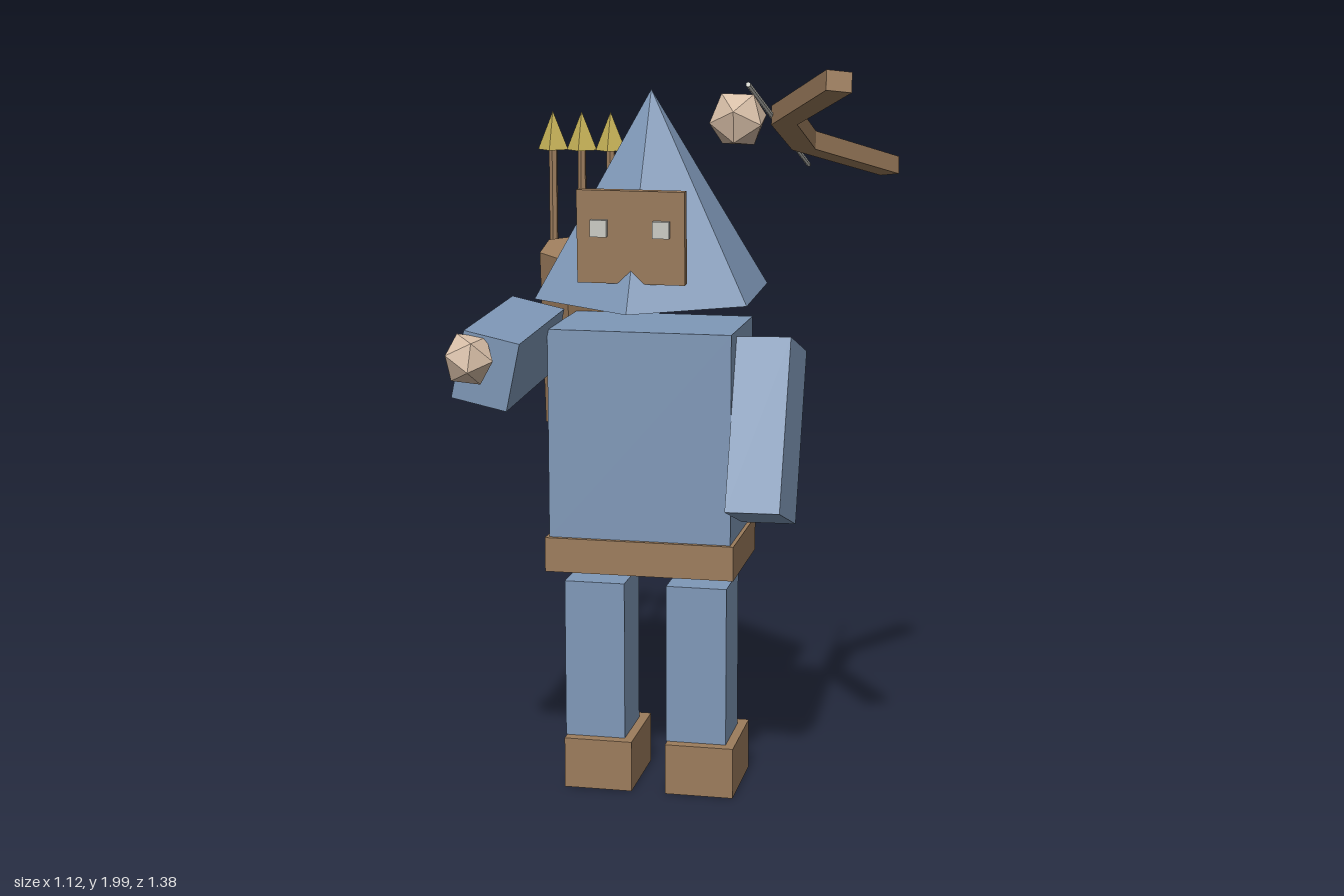
import * as THREE from 'three';

const mat = (name, color) => {
  const m = new THREE.MeshStandardMaterial({ color });
  m.name = name;
  m.flatShading = true;
  return m;
};

export function createModel() {
  const blue = mat('blue cloth', 0x7f98b8);
  const brown = mat('brown leather', 0x9c7c5c);
  const skin = mat('skin', 0xd6bda6);
  const gold = mat('gold', 0xc8b458);
  const pale = mat('pale grey', 0xcfcfc8);

  const model = new THREE.Group();
  model.name = 'archer';
  const YAW = -0.1;

  const add = (parent, name, geo, material, pos, rot = [0, 0, 0]) => {
    const mesh = new THREE.Mesh(geo, material);
    mesh.name = name;
    mesh.position.set(...pos);
    mesh.rotation.set(...rot);
    parent.add(mesh);
    return mesh;
  };
  const box = (w, h, d) => new THREE.BoxGeometry(w, h, d);

  // Torso, belt, legs and feet, turned slightly to one side
  const body = new THREE.Group();
  body.name = 'body';
  body.position.set(-0.086, 0, -0.2435);
  body.rotation.y = YAW;
  model.add(body);
  add(body, 'torso', box(0.49, 0.56, 0.324), blue, [0, 0.997, 0]);
  add(body, 'belt', box(0.51, 0.093, 0.345), brown, [0, 0.67, 0]);
  for (const [side, s] of [['left', 1], ['right', -1]]) {
    add(body, side + 'Leg', box(0.165, 0.437, 0.182), blue, [s * 0.14, 0.3585, 0]);
    add(body, side + 'Foot', box(0.187, 0.14, 0.253), brown, [s * 0.14 + 0.014, 0.07, -0.005]);
  }

  // Pointed hood with a face plate and eyes
  const head = new THREE.Group();
  head.name = 'head';
  head.position.set(-0.083, 1.362, -0.248);
  head.rotation.set(0.048, YAW, 0);
  model.add(head);
  add(head, 'hood', new THREE.ConeGeometry(0.325, 0.533, 6), blue, [0, 0.2665, 0]);
  add(head, 'face', box(0.28, 0.238, 0.026), brown, [0, 0.187, 0.25]);
  for (const [side, s] of [['left', 1], ['right', -1]]) {
    add(head, side + 'Eye', box(0.043, 0.043, 0.03), pale, [s * 0.081, 0.21, 0.263]);
  }

  // Arms and hands: left hangs forward, right is raised
  const arm = box(0.146, 0.465, 0.178);
  add(model, 'leftArm', arm, blue, [0.23, 1.016, -0.119], [-0.38, -0.19, -0.036]);
  add(model, 'rightArm', arm, blue, [-0.434, 1.2275, -0.037], [-1.51, 0.21, -0.097]);
  const hand = new THREE.IcosahedronGeometry(0.07, 0);
  add(model, 'rightHand', hand, skin, [-0.495, 1.25, 0.205], [-0.2, 0.2, -0.1]);
  add(model, 'leftHand', hand, skin, [0.2, 1.873, 0.528], [0.25, -0.1, 0]);

  // Bow: a bent bar with a straight string, lying in a tilted plane
  const bow = new THREE.Group();
  bow.name = 'bow';
  bow.position.y = 1.7845;
  bow.rotation.x = 1.304;
  model.add(bow);
  const outline = [
    [0.513, -0.373], [0.561, -0.345], [0.355, -0.002], [0.324, 0.312],
    [0.461, 0.682], [0.405, 0.708], [0.262, 0.31], [0.296, -0.016],
  ].map(([x, y]) => new THREE.Vector2(x, y));
  const bar = new THREE.ExtrudeGeometry(new THREE.Shape(outline), { depth: 0.046, bevelEnabled: false });
  add(bow, 'bowLimbs', bar, brown, [0, 0, -0.023]);
  const a = new THREE.Vector2(0.323, -0.35), b = new THREE.Vector2(0.23, 0.655);
  const d = b.clone().sub(a);
  add(bow, 'bowString', new THREE.CylinderGeometry(0.006, 0.006, d.length(), 6), pale,
    [(a.x + b.x) / 2, (a.y + b.y) / 2, 0], [0, 0, Math.atan2(-d.x, d.y)]);

  // Quiver on the back with three arrows
  add(model, 'quiver', new THREE.CylinderGeometry(0.103, 0.1, 0.512, 6), brown,
    [-0.327, 1.195, -0.535], [0.236, YAW, -0.02]);
  for (const i of [-1, 0, 1]) {
    const arrow = new THREE.Group();
    arrow.name = 'arrow';
    arrow.position.set(-0.319 + i * 0.082, 0, -0.588 + i * 0.009);
    arrow.rotation.y = YAW;
    model.add(arrow);
    add(arrow, 'arrowShaft', new THREE.CylinderGeometry(0.012, 0.012, 0.36, 6), brown, [0, 1.535, 0]);
    add(arrow, 'arrowHead', new THREE.ConeGeometry(0.043, 0.106, 4), gold, [0, 1.757, 0]);
  }

  return model;
}
